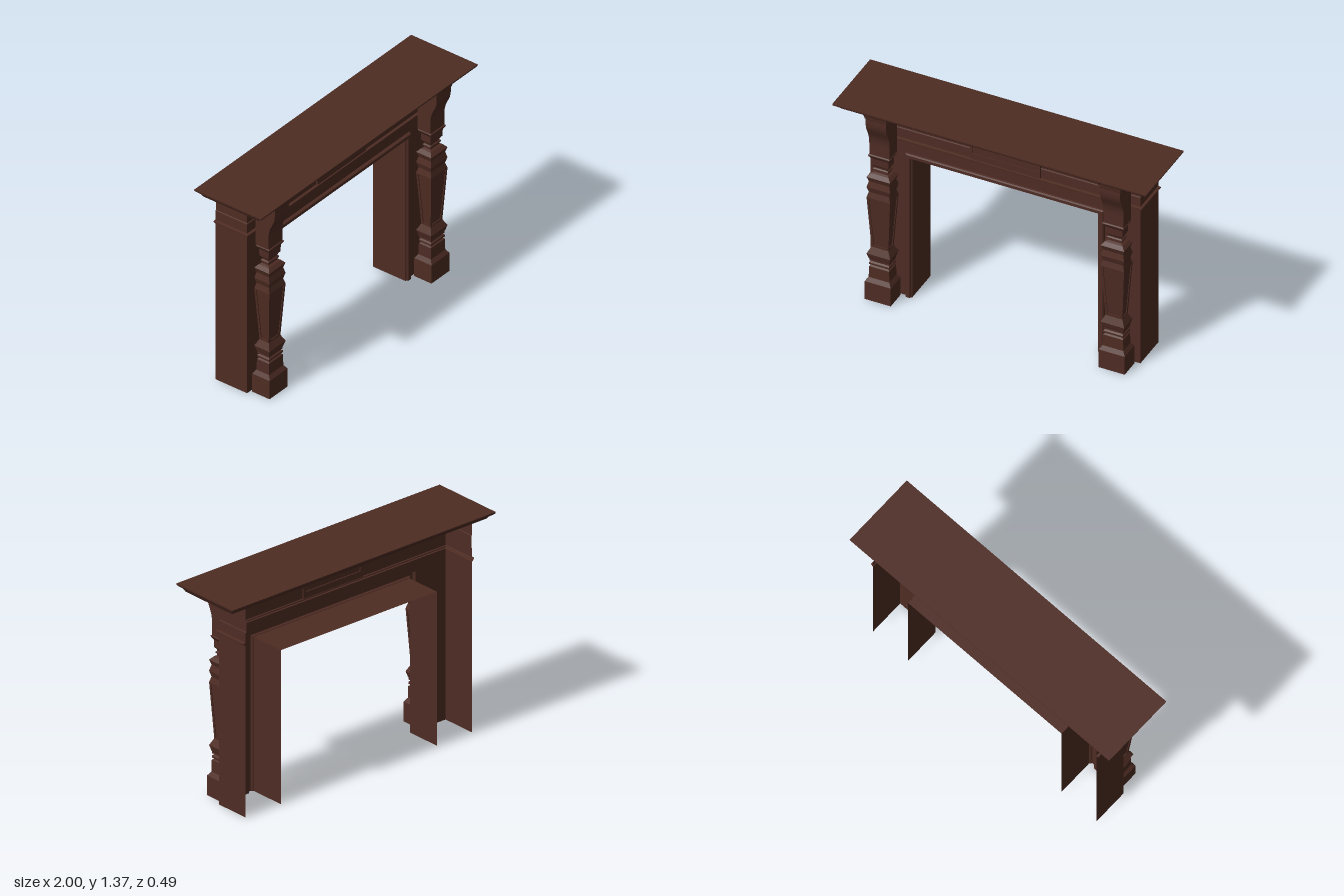
import * as THREE from 'three';

const wood = new THREE.MeshStandardMaterial({ color: 0x4e2c23, side: THREE.DoubleSide });
wood.name = 'darkWood';

// Joins rows of points into a faceted surface
function skin(rows) {
  const pos = [];
  for (let i = 0; i < rows.length - 1; i++) {
    for (let j = 0; j < rows[i].length - 1; j++) {
      const a = rows[i][j], b = rows[i][j + 1], c = rows[i + 1][j + 1], d = rows[i + 1][j];
      pos.push(...a, ...b, ...c, ...a, ...c, ...d);
    }
  }
  const g = new THREE.BufferGeometry();
  g.setAttribute('position', new THREE.Float32BufferAttribute(pos, 3));
  g.computeVertexNormals();
  return g;
}

// Closed rectangular ring, counter-clockwise from above
const ring = (y, hx, hz, cz = 0) => [
  [-hx, y, cz + hz], [hx, y, cz + hz], [hx, y, cz - hz], [-hx, y, cz - hz], [-hx, y, cz + hz],
];
const cap = (y, hx, hz, cz = 0) => skin([
  [[-hx, y, cz + hz], [hx, y, cz + hz]], [[-hx, y, cz - hz], [hx, y, cz - hz]],
]);

function add(parent, name, geometry) {
  const m = new THREE.Mesh(geometry, wood);
  m.name = name;
  parent.add(m);
  return m;
}

function polygon(points) {
  return new THREE.Shape(points.map(([x, y]) => new THREE.Vector2(x, y)));
}

const CZ = 0.108;     // column centre depth
const WIDER = 0.02;   // columns are this much wider than deep, per side

// Square turned stack from [height, half depth] pairs
const turned = (profile) => skin(profile.map(([y, h]) => ring(y, h + WIDER, h, CZ)));

// Tapered shaft with a sunk panel in each face
function addShaft(parent) {
  const y0 = 0.36, y1 = 0.715, h0 = 0.034, h1 = 0.055, edge = 0.014, sink = 0.005;
  const low = ring(y0, h0 + WIDER, h0, CZ), high = ring(y1, h1 + WIDER, h1, CZ);
  for (let i = 0; i < 4; i++) {
    const corners = [low[i], low[i + 1], high[i + 1], high[i]].map((p) => new THREE.Vector3(...p));
    const across = corners[1].clone().sub(corners[0]).normalize();
    const up = corners[3].clone().add(corners[2]).sub(corners[0]).sub(corners[1]).normalize();
    const out = across.clone().cross(up);
    const inner = corners.map((p, k) => p.clone()
      .addScaledVector(across, k === 0 || k === 3 ? edge : -edge)
      .addScaledVector(up, k < 2 ? 0.012 : -0.008));
    const sunk = inner.map((p) => p.clone().addScaledVector(out, -sink));
    const loop = (ps) => [...ps, ps[0]].map((p) => p.toArray());
    add(parent, 'shaftFrame', skin([loop(corners), loop(inner), loop(sunk)]));
    const s = sunk.map((p) => p.toArray());
    add(parent, 'shaftPanel', skin([[s[0], s[1]], [s[3], s[2]]]));
  }
}

function createColumn() {
  const col = new THREE.Group();
  add(col, 'plinth', turned([[0, 0.063], [0.125, 0.063], [0.15, 0.046], [0.225, 0.044]]));
  add(col, 'lowerTurning', turned([
    [0.225, 0.044], [0.232, 0.034], [0.24, 0.044], [0.252, 0.044], [0.26, 0.034],
    [0.266, 0.043], [0.278, 0.043], [0.285, 0.046], [0.318, 0.055], [0.36, 0.034],
  ]));
  addShaft(col);
  add(col, 'upperTurning', turned([
    [0.715, 0.055], [0.75, 0.045], [0.787, 0.055], [0.825, 0.045], [0.857, 0.055],
    [0.878, 0.036], [0.885, 0.022], [0.895, 0.022], [0.9, 0.029], [0.908, 0.029],
    [0.914, 0.022], [0.925, 0.024], [0.937, 0.034], [0.985, 0.036], [1.0, 0.046],
    [1.01, 0.049], [1.015, 0.042],
  ]));

  // Scrolled bracket carrying the shelf
  const side = new THREE.Shape();
  side.moveTo(0.054, 1.01);
  side.lineTo(0.148, 1.01);
  side.lineTo(0.148, 1.09);
  side.bezierCurveTo(0.15, 1.18, 0.192, 1.19, 0.195, 1.26);
  side.lineTo(0.195, 1.32);
  side.lineTo(0.054, 1.32);
  const bracket = new THREE.ExtrudeGeometry(side, { depth: 0.13, bevelEnabled: false, curveSegments: 10 });
  bracket.translate(0, 0, -0.065).rotateY(-Math.PI / 2);
  add(col, 'bracket', bracket);
  add(col, 'bracketCap', skin([
    ring(1.292, 0.065, 0.072, 0.125), ring(1.298, 0.07, 0.076, 0.125),
    ring(1.306, 0.07, 0.076, 0.125), ring(1.32, 0.074, 0.08, 0.125),
  ]));
  return col;
}

export function createModel() {
  const model = new THREE.Group();
  model.name = 'fireplaceSurround';

  // Shelf with moulded edge
  const shelf = new THREE.Group();
  shelf.name = 'shelf';
  model.add(shelf);
  add(shelf, 'shelfEdge', skin([
    [1.318, 0.967, 0.2], [1.328, 0.972, 0.207], [1.343, 0.98, 0.224],
    [1.345, 0.988, 0.23], [1.355, 0.998, 0.242], [1.365, 1, 0.243],
  ].map(([y, hx, hz]) => ring(y, hx, hz))));
  add(shelf, 'shelfTop', cap(1.365, 1, 0.243));
  add(shelf, 'shelfUnderside', cap(1.318, 0.967, 0.2));

  // Open-backed case: front board with the opening, and two sides
  const FRONT = 0.032, BACK = -0.198, W = 0.86;
  const front = new THREE.ShapeGeometry(polygon([
    [-W, 0], [-0.632, 0], [-0.632, 1.008], [0.632, 1.008], [0.632, 0], [W, 0], [W, 1.08], [-W, 1.08],
  ]));
  add(model, 'frontBoard', front.translate(0, 0, FRONT));
  for (const s of [-1, 1]) {
    add(model, 'sideBoard', skin([
      [[s * W, 0, FRONT], [s * W, 0, BACK]], [[s * W, 1.08, FRONT], [s * W, 1.08, BACK]],
    ]));
  }

  // Ledge moulding and frieze wrapping front and sides
  const wrap = (profile) => skin(profile.map(([out, y]) => [
    [-W - out, y, BACK], [-W - out, y, FRONT + out], [W + out, y, FRONT + out], [W + out, y, BACK],
  ]));
  add(model, 'ledge', wrap([[0, 1.08], [0.008, 1.083], [0.009, 1.09], [0.016, 1.094], [0.016, 1.1], [0, 1.103]]));
  add(model, 'frieze', wrap([[0, 1.103], [0, 1.165], [-0.006, 1.168], [-0.006, 1.242], [0, 1.245], [0, 1.32]]));

  // Moulded trim and deep reveal around the opening
  const trim = [[0, BACK], [0, 0.036], [0.007, 0.04], [0.012, 0.05], [0.034, 0.05], [0.04, 0.042], [0.042, FRONT]];
  add(model, 'openingTrim', skin(trim.map(([out, z]) => {
    const x = 0.592 + out, y = 0.973 + out * 0.85;
    return [[-x, 0, z], [-x, y, z], [x, y, z], [x, 0, z]];
  })));

  // Central plaque with flared top and sunk panel
  const plaque = polygon([[-0.225, 1.103], [0.225, 1.103], [0.225, 1.26], [0.28, 1.318], [-0.28, 1.318], [-0.225, 1.26]]);
  plaque.holes.push(polygon([[-0.208, 1.142], [-0.208, 1.277], [0.208, 1.277], [0.208, 1.142]]));
  const plate = new THREE.ExtrudeGeometry(plaque, { depth: 0.018, bevelEnabled: false });
  add(model, 'plaque', plate.translate(0, 0, 0.024));
  add(model, 'plaquePanel', new THREE.PlaneGeometry(0.416, 0.135).translate(0, 1.2095, 0.036));
  add(model, 'plaqueCrown', skin([[1.285, 0.249, 0.042], [1.318, 0.28, 0.05]].map(([y, x, z]) => [
    [-x, y, 0.03], [-x, y, z], [x, y, z], [x, y, 0.03],
  ])));

  // Matching columns
  for (const [s, name] of [[1, 'leftColumn'], [-1, 'rightColumn']]) {
    const col = createColumn();
    col.name = name;
    col.position.x = s * 0.746;
    model.add(col);
  }
  return model;
}
